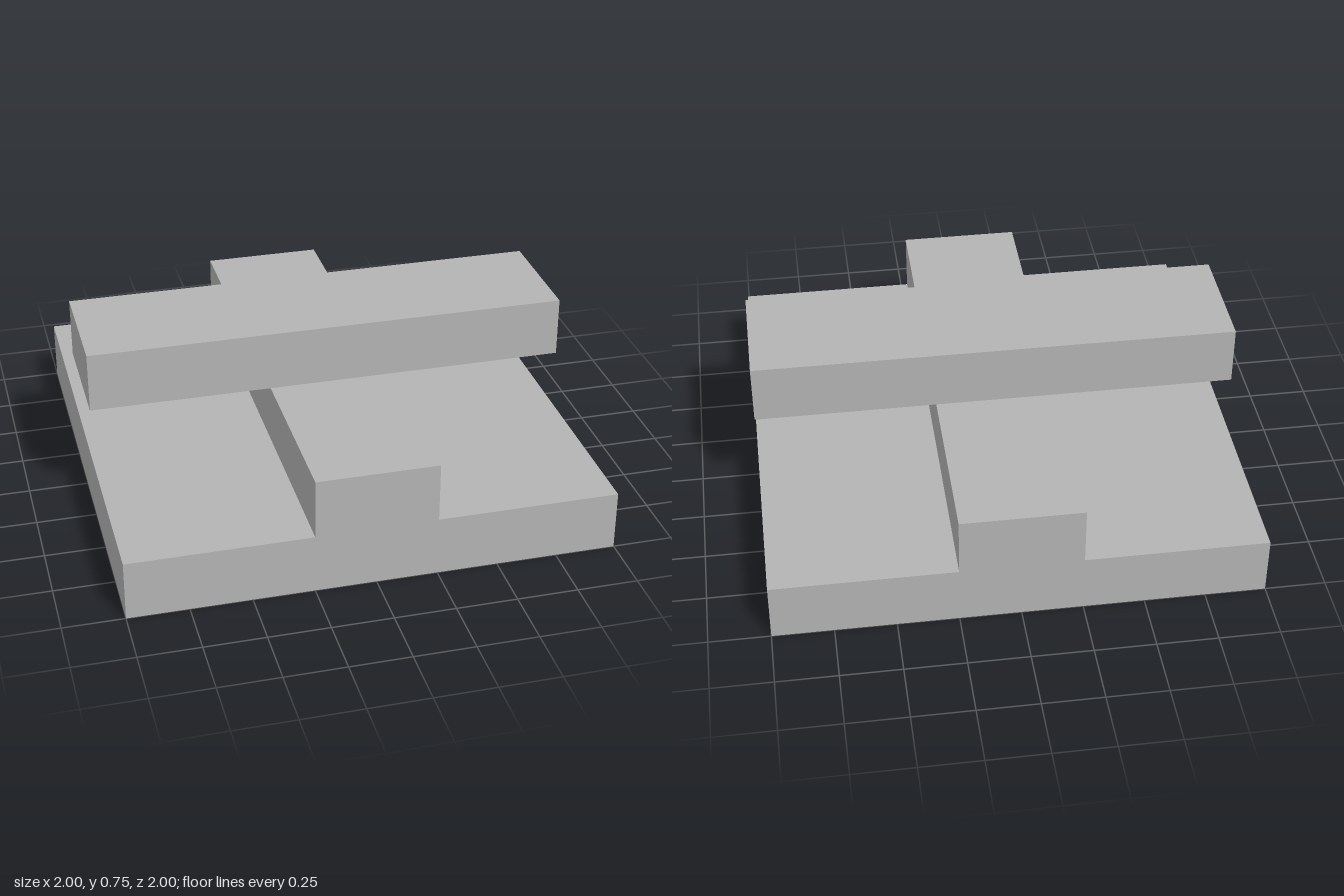
import * as THREE from 'three';

export function createModel() {
  const model = new THREE.Group();
  const grey = new THREE.MeshStandardMaterial({ color: 0xb3b3b3 });
  grey.name = 'plain grey';

  // Square base plate with a raised central rail, one stepped profile run along z
  const half = [[0.25, 0.5], [0.25, 0.25], [1, 0.25], [1, 0]];
  const mirrored = half.map(([x, y]) => [-x, y]).reverse();
  const profile = new THREE.Shape([...half, ...mirrored].map(([x, y]) => new THREE.Vector2(x, y)));
  const baseGeometry = new THREE.ExtrudeGeometry(profile, { depth: 2, bevelEnabled: false });
  baseGeometry.translate(0, 0, -1);
  const base = new THREE.Mesh(baseGeometry, grey);
  base.name = 'baseWithRail';
  model.add(base);

  // Crossbar resting on the rail at right angles
  const crossbar = new THREE.Mesh(new THREE.BoxGeometry(2, 0.25, 0.5), grey);
  crossbar.name = 'crossbar';
  crossbar.position.y = 0.625;
  model.add(crossbar);

  return model;
}
